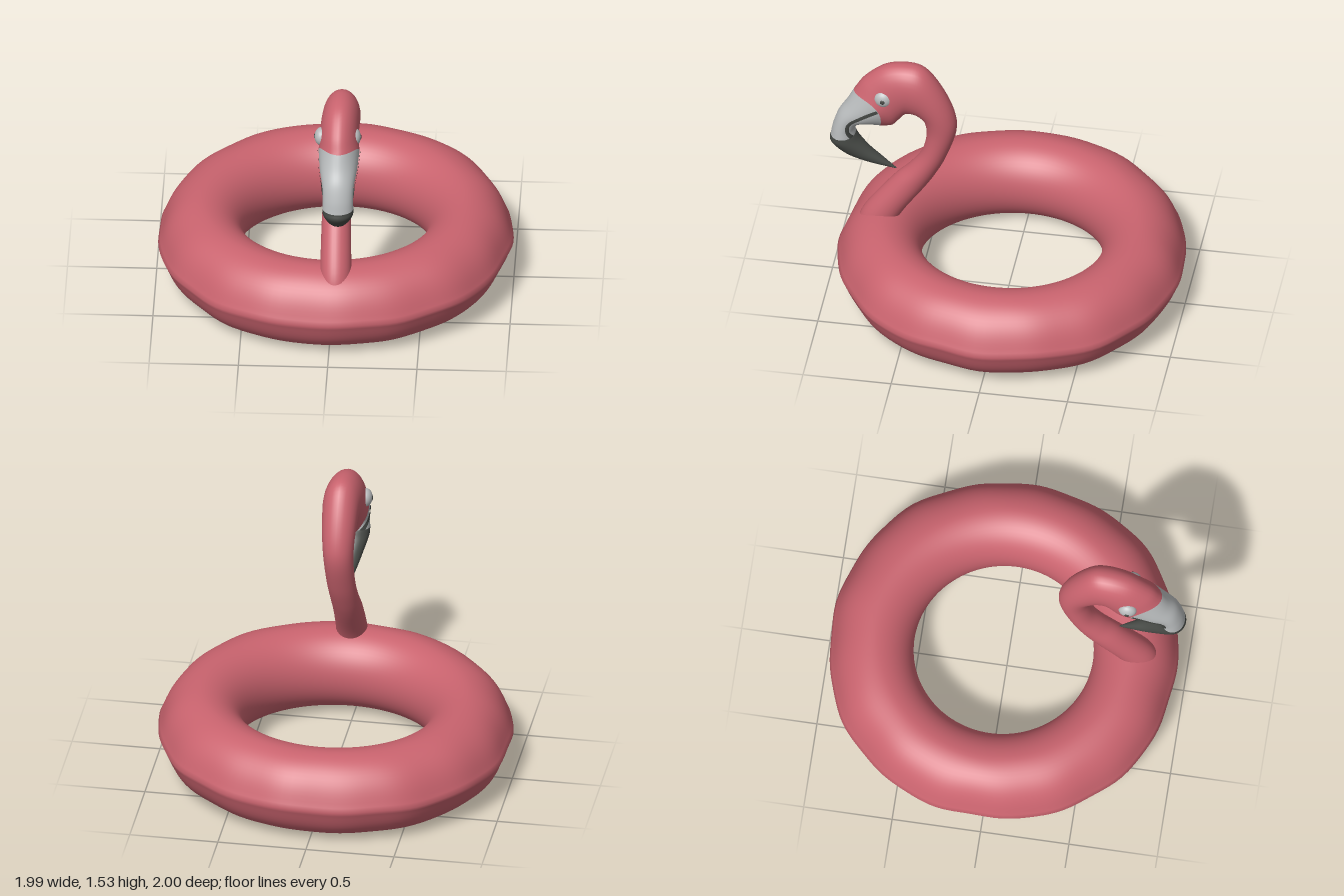
import * as THREE from 'three';

const V = (x, y, z = 0) => new THREE.Vector3(x, y, z);

// Smooth surface grid from a point rule; either direction may close on itself
function grid(point, nu, nv, wrapU, wrapV) {
  const cols = wrapV ? nv : nv + 1, rows = wrapU ? nu : nu + 1;
  const pos = [], idx = [];
  for (let i = 0; i < rows; i++)
    for (let j = 0; j < cols; j++) pos.push(...point(i / nu, j / nv).toArray());
  for (let i = 0; i < nu; i++)
    for (let j = 0; j < nv; j++) {
      const i2 = (i + 1) % rows, j2 = (j + 1) % cols;
      const a = i * cols + j, b = i2 * cols + j, c = i2 * cols + j2, d = i * cols + j2;
      idx.push(a, b, d, b, c, d);
    }
  const g = new THREE.BufferGeometry();
  g.setAttribute('position', new THREE.Float32BufferAttribute(pos, 3));
  g.setIndex(idx);
  g.computeVertexNormals();
  return g;
}

// Oval tube through sections [outerZ, outerY, innerZ, innerY, halfWidth, centreX, bendZ, bendY]
function loftRule(sections) {
  const curve = (f) => new THREE.CatmullRomCurve3(sections.map(f), false, 'catmullrom', 0.5);
  const outer = curve((s) => V(0, s[1], s[0]));
  const inner = curve((s) => V(0, s[3], s[2]));
  const width = curve((s) => V(s[4], s[5]));
  const bend = curve((s) => V(0, s[7] || 0, s[6] || 0));
  return (u, angle, grow = 0) => {
    const o = outer.getPoint(u), i = inner.getPoint(u), w = width.getPoint(u);
    const c = Math.cos(angle), s = Math.sin(angle);
    const p = o.clone().add(i).multiplyScalar(0.5);
    p.addScaledVector(o.sub(i), 0.5 * c);
    p.addScaledVector(bend.getPoint(u), s * s);
    p.x = w.y + (w.x + grow) * s;
    return p;
  };
}

export function createModel() {
  const group = new THREE.Group();
  const material = (name, color, side = THREE.FrontSide) =>
    Object.assign(new THREE.MeshStandardMaterial({ color, side }), { name });
  const pink = material('pink', 0xc9636e);
  const white = material('paleGrey', 0xb9bcbd);
  const dark = material('charcoal', 0x474a46, THREE.DoubleSide);
  const add = (name, geometry, mat) => {
    const m = new THREE.Mesh(geometry, mat);
    m.name = name;
    group.add(m);
    return m;
  };
  const TAU = Math.PI * 2;

  // Inflated ring with a pinched welded seam and a slightly uneven outline
  add('floatRing', grid((u, v) => {
    const phi = u * TAU, a = v * TAU;
    const out = Math.max(0, Math.cos(a));
    const fromSeam = Math.min(a, TAU - a);
    const wobble = 0.004 * Math.sin(9 * phi) + 0.003 * Math.sin(17 * phi + 1)
      + 0.016 * Math.sin(2 * phi) ** 2;
    const r = 0.741 + 0.227 * Math.cos(a) + out * wobble + 0.025 * Math.exp(-fromSeam / 0.2);
    const x = r * Math.sin(phi), z = r * Math.cos(phi) * 0.98 - 0.018;
    const y = 0.25 + 0.24 * Math.sin(a) - 0.012 * out + 0.012 * x
      + 0.004 * out * Math.sin(11 * phi);
    return V(x, y, z);
  }, 128, 60, true, true), pink);

  // Neck and head, from the ring up and over to the face
  const face = [0.87, 1.32, 0.72, 1.095, 0.115, 0.052, -0.075, 0.055];
  const neck = loftRule([
    [0.66, 0.36, 0.865, 0.36, 0.092, 0.035],
    [0.587, 0.5, 0.81, 0.5, 0.087, 0.033],
    [0.47, 0.67, 0.655, 0.71, 0.082, 0.03],
    [0.405, 0.78, 0.555, 0.82, 0.08, 0.034],
    [0.345, 0.91, 0.485, 0.93, 0.08, 0.042],
    [0.29, 1.09, 0.457, 1.06, 0.083, 0.05],
    [0.3, 1.22, 0.47, 1.155, 0.089, 0.055],
    [0.37, 1.38, 0.5, 1.19, 0.097, 0.058],
    [0.465, 1.505, 0.535, 1.203, 0.103, 0.06],
    [0.57, 1.53, 0.575, 1.195, 0.106, 0.057, -0.01, 0.01],
    [0.7, 1.5, 0.61, 1.15, 0.108, 0.052, -0.03, 0.02],
    [0.81, 1.41, 0.65, 1.105, 0.11, 0.05, -0.055, 0.04],
    face,
  ]);
  add('neckAndHead', grid((u, v) => neck(u, v * TAU), 72, 32, false, true), pink);

  // Pale part of the bill
  const billEnd = [1.0, 1.005, 0.86, 1.015, 0.087, 0.054];
  const bill = loftRule([
    face,
    [0.91, 1.24, 0.785, 1.1, 0.104, 0.052, -0.03, 0.02],
    [0.955, 1.165, 0.83, 1.1, 0.089, 0.053],
    [0.985, 1.08, 0.86, 1.06, 0.085, 0.054],
    billEnd,
  ]);
  add('bill', grid((u, v) => bill(u, v * TAU), 24, 32, false, true), white);

  // Dark hooked bill tip
  const tip = loftRule([
    billEnd,
    [1.0, 0.96, 0.832, 0.97, 0.084, 0.054],
    [0.92, 0.88, 0.775, 0.91, 0.06, 0.052],
    [0.79, 0.823, 0.71, 0.855, 0.035, 0.048],
    [0.63, 0.782, 0.63, 0.787, 0.003, 0.045],
  ]);
  add('billTip', grid((u, v) => tip(u, v * TAU), 24, 32, false, true), dark);

  for (const side of [1, -1]) {
    const name = side > 0 ? 'left' : 'right';

    // Mouth line arching forward and down the side of the bill
    add(name + 'MouthLine', grid((u, v) => {
      const degrees = 92 + 54 * u - 22 * Math.sin(Math.PI * u) + (v - 0.5) * (9 + 15 * u);
      return bill(u, side * THREE.MathUtils.degToRad(degrees), 0.005);
    }, 24, 4, false, false), dark);

    // Bulging eye with a small pupil
    const eye = add(name + 'Eye', new THREE.SphereGeometry(1, 24, 16), white);
    eye.scale.set(0.038, 0.052, 0.052);
    eye.position.set(0.043 + side * 0.092, 1.332, 0.69);
    const pupil = add(name + 'Pupil', new THREE.SphereGeometry(1, 12, 8), dark);
    pupil.scale.set(0.004, 0.014, 0.014);
    pupil.position.set(0.043 + side * 0.129, 1.332, 0.69);
  }

  return group;
}
